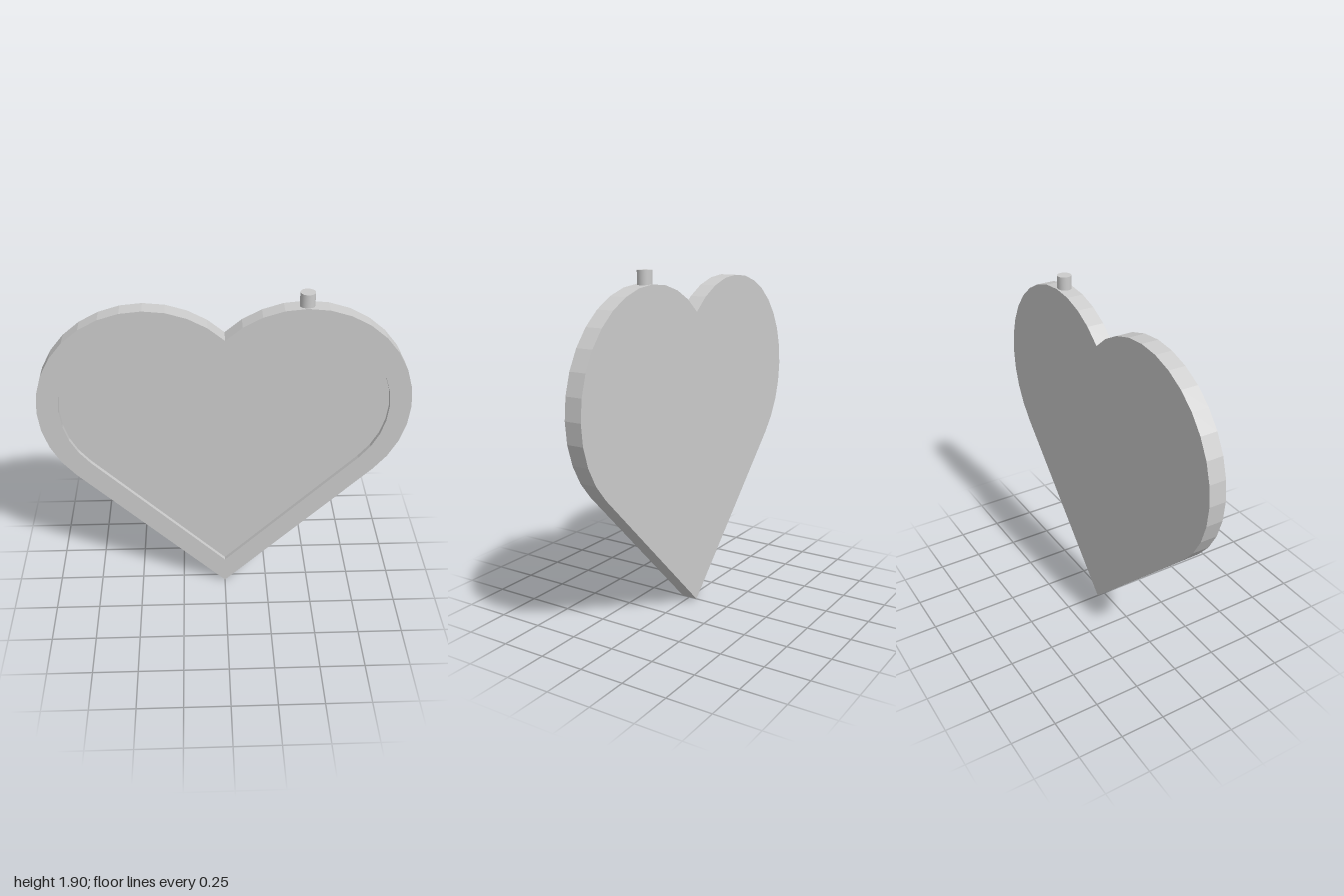
import * as THREE from 'three';

const R = 0.5858;        // lobe radius
const CX = 0.4142, CY = 1.2426; // lobe centre
const HALF = 0.047;      // half thickness
const RIM = 0.117;       // rim width
const FLOOR = HALF - 0.0234; // z of the recessed face
const STEPS = 16;        // segments per lobe

// Heart outline, counter-clockwise from the tip: two half circles on a tilted square
function heartLoop() {
  const points = [new THREE.Vector2(0, 0)];
  const lobe = (cx, startDeg, first) => {
    for (let i = first; i <= STEPS; i++) {
      const a = THREE.MathUtils.degToRad(startDeg + (180 * i) / STEPS);
      points.push(new THREE.Vector2(cx + R * Math.cos(a), CY + R * Math.sin(a)));
    }
  };
  lobe(CX, -45, 0);
  lobe(-CX, 45, 1);
  return points;
}

// Mitred inward offset of a counter-clockwise loop
function inset(loop, d) {
  const n = loop.length;
  const inward = (a, b) => new THREE.Vector2(a.y - b.y, b.x - a.x).normalize();
  return loop.map((p, i) => {
    const n1 = inward(loop[(i + n - 1) % n], p);
    const n2 = inward(p, loop[(i + 1) % n]);
    const k = d / (1 + n1.dot(n2));
    return n1.add(n2).multiplyScalar(k).add(p);
  });
}

// Straight wall along a loop between two depths, facing right of travel
function wall(loop, z0, z1) {
  const pos = [];
  loop.forEach((a, i) => {
    const b = loop[(i + 1) % loop.length];
    pos.push(a.x, a.y, z0, b.x, b.y, z0, b.x, b.y, z1);
    pos.push(a.x, a.y, z0, b.x, b.y, z1, a.x, a.y, z1);
  });
  const geometry = new THREE.BufferGeometry();
  geometry.setAttribute('position', new THREE.Float32BufferAttribute(pos, 3));
  geometry.computeVertexNormals();
  return geometry;
}

export function createModel() {
  const model = new THREE.Group();
  model.name = 'heartPendant';
  const flat = new THREE.MeshStandardMaterial({ color: 0xcccccc, flatShading: true });
  const smooth = new THREE.MeshStandardMaterial({ color: 0xcccccc });
  const add = (name, geometry, material = flat) => {
    const mesh = new THREE.Mesh(geometry, material);
    mesh.name = name;
    model.add(mesh);
    return mesh;
  };

  const outer = heartLoop();
  const inner = inset(outer, RIM);

  // Raised rim on the front
  const rimShape = new THREE.Shape(outer);
  rimShape.holes.push(new THREE.Path(inner));
  add('frontRim', new THREE.ShapeGeometry(rimShape).translate(0, 0, HALF));

  // Shallow recess inside the rim
  add('recessFloor', new THREE.ShapeGeometry(new THREE.Shape(inner)).translate(0, 0, FLOOR));
  add('recessWall', wall([...inner].reverse(), FLOOR, HALF));

  // Outer edge and plain back
  add('outerEdge', wall(outer, -HALF, HALF));
  add('backFace', new THREE.ShapeGeometry(new THREE.Shape(outer)).rotateY(Math.PI).translate(0, 0, -HALF));

  // Small peg on top of the left lobe, slightly sunk into the edge
  const pegTop = 1.898, pegBottom = 1.815;
  const peg = add('topPeg', new THREE.CylinderGeometry(0.039, 0.039, pegTop - pegBottom, 32), smooth);
  peg.position.set(CX, (pegTop + pegBottom) / 2, 0);

  return model;
}
